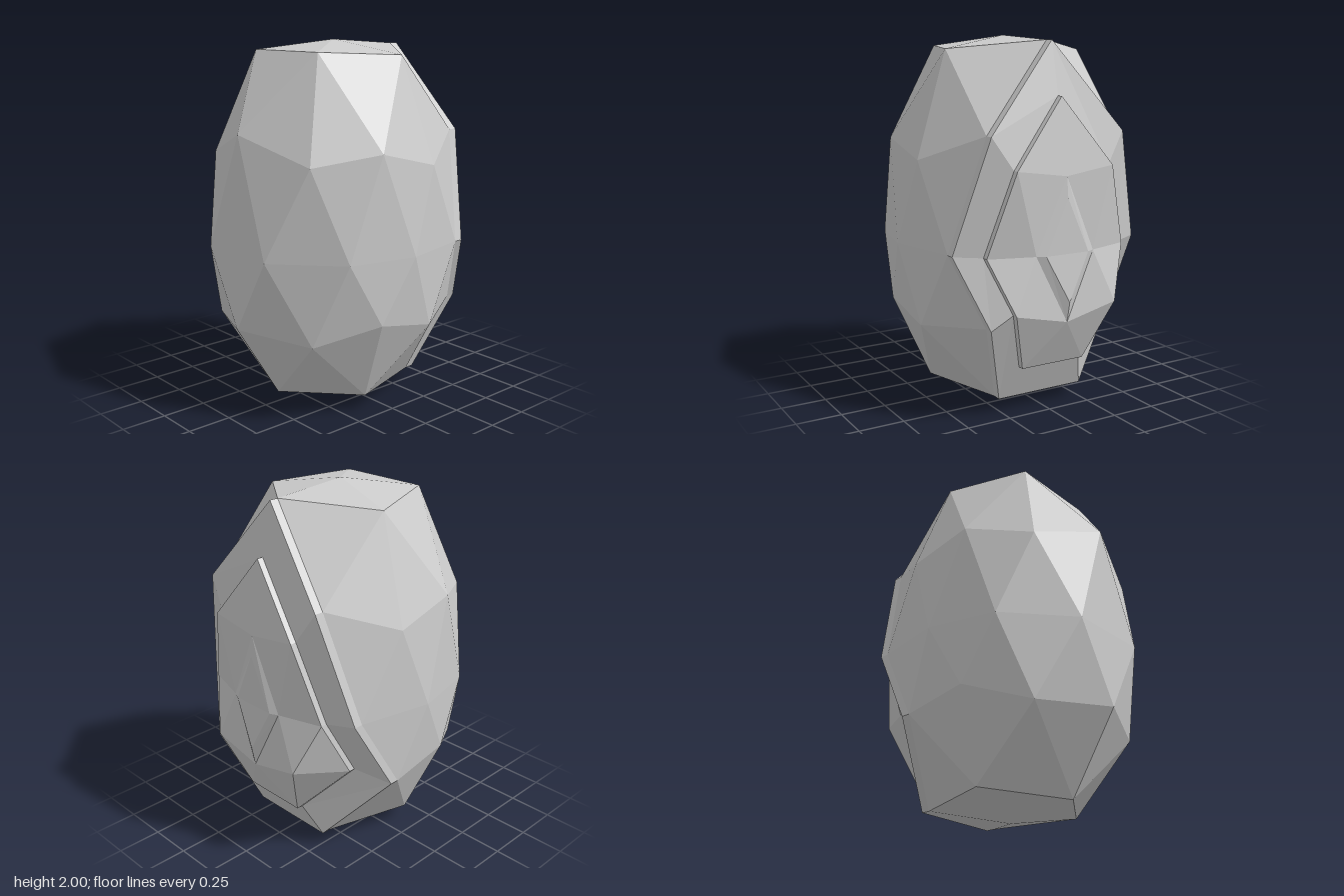
import * as THREE from 'three';

const CENTRE = new THREE.Vector3(0, 0.95, 0);

// Flat shaded mesh from corner triples; each face is turned away from the centre
function facetMesh(name, triangles) {
  const corners = [];
  for (const t of triangles) {
    const [a, b, c] = t.map((p) => new THREE.Vector3(...p));
    const normal = b.clone().sub(a).cross(c.clone().sub(a));
    const middle = a.clone().add(b).add(c).divideScalar(3).sub(CENTRE);
    corners.push(...(normal.dot(middle) < 0 ? [a, c, b] : [a, b, c]));
  }
  const geometry = new THREE.BufferGeometry().setFromPoints(corners);
  geometry.computeVertexNormals();
  const mesh = new THREE.Mesh(geometry, new THREE.MeshStandardMaterial({ color: 0xcccccc, flatShading: true }));
  mesh.name = name;
  return mesh;
}

// Closed strip of faces between two loops of equal length
function strip(outer, inner) {
  return outer.flatMap((p, i) => {
    const j = (i + 1) % outer.length;
    return [[p, outer[j], inner[i]], [outer[j], inner[j], inner[i]]];
  });
}

const shift = (loop, dx) => loop.map(([x, y, z]) => [x + dx, y, z]);

// Points are named by ring letter and azimuth; a trailing * means the mirrored (-z) point
const baseName = (n) => n.replace('*', '');
const flipName = (n) => (n.endsWith('*') ? baseName(n) : n + '*');
const lookup = (points) => (n) => {
  const [x, y, z] = points[baseName(n)];
  return [x, y, n.endsWith('*') ? -z : z];
};

// Expands half-model faces to both sides; faces that span the middle are kept once
function bothSides(faces, points, oneSided = []) {
  const get = lookup(points);
  return faces.flatMap((face) => {
    const names = face.split(' ');
    const spansMiddle = names.every((n) => points[baseName(n)][2] === 0 || names.includes(flipName(n)));
    const triangles = [names.map(get)];
    if (!spansMiddle && !oneSided.includes(face)) triangles.push(names.map((n) => get(flipName(n))));
    return triangles;
  });
}

export function createModel() {
  const model = new THREE.Group();
  model.name = 'facetedEgg';

  // Main body: rings of an elongated icosphere
  const body = {
    N: [0, 2, 0], S: [0, 0, 0],
    A0: [0.44, 1.97, 0], A72: [0.115, 1.925, 0.415], A144: [-0.33, 1.945, 0.26],
    B36: [0.52, 1.5, 0.4], B108: [-0.19, 1.45, 0.6], B180: [-0.65, 1.53, 0],
    C72: [0.17, 1.36, 0.61], C144: [-0.51, 1.39, 0.41],
    D54: [0.41, 0.9, 0.565], D90: [0, 0.9, 0.655], D126: [-0.38, 0.9, 0.565], D162: [-0.675, 0.9, 0.24],
    F36: [0.53, 0.52, 0.41], F108: [-0.19, 0.55, 0.605], F180: [-0.68, 0.485, 0],
    G72: [0.17, 0.48, 0.605], G144: [-0.5, 0.45, 0.41],
    H36: [0.35, 0.075, 0.26], H108: [-0.125, 0.085, 0.41], H180: [-0.41, 0.055, 0],
  };
  const bodyFaces = [
    'N A0 A72', 'N A72 A144', 'N A144 A144*', 'A0 A72 B36', 'A72 A144 B108', 'A144 A144* B180',
    'A72 B36 C72', 'A72 C72 B108', 'A144 B108 C144', 'A144 C144 B180', 'B36 C72 D54', 'C72 B108 D90',
    'B108 D90 D126', 'C144 B108 D126', 'F108 D90 D126', 'C72 D54 D90', 'D54 D90 G72', 'F36 D54 G72',
    'F108 D90 G72', 'C144 D126 D162', 'D126 D162 G144', 'F108 D126 G144', 'F180 D162 G144',
    'C144 B180 D162', 'B180 D162 D162*', 'F180 D162 D162*', 'F36 G72 H36', 'G72 H36 H108',
    'F108 G72 H108', 'F108 G144 H108', 'G144 H108 H180', 'F180 G144 H180',
    'S H36 H108', 'S H108 H180', 'S H36 H36*',
  ];
  model.add(facetMesh('body', bothSides(bodyFaces, body, ['F36 D54 G72', 'F36 G72 H36'])));

  // Lower raised plate on the side: wall and surrounding ledge
  const rim = ['A0', 'B36', 'D54', 'F36', 'H36', 'H36*', 'G72*', 'D54*', 'B36*'].map(lookup(body));
  const ledge = shift(rim, 0.05);
  const plate = {
    T: [0.585, 1.69, 0], M: [0.635, 1.33, 0.29], E: [0.555, 0.89, 0.42], L: [0.655, 0.6, 0.305],
    P: [0.525, 0.27, 0.19], Q: [0.39, 0.57, 0.46],
    U: [0.64, 1.29, 0], V: [0.63, 0.89, 0.175], W: [0.655, 0.53, 0],
  };
  const platePoint = lookup(plate);
  const upperRim = ['T', 'M', 'E', 'L', 'P', 'P*', 'Q*', 'E*', 'M*'].map(platePoint);
  const upperBase = shift(upperRim, -0.035);
  model.add(facetMesh('lowerPlate', [...strip(rim, ledge), ...strip(ledge, upperBase)]));

  // Upper raised plate, with its extra corner on the back side
  const plateFaces = ['T M U', 'M U V', 'M E V', 'E L V', 'L V W', 'L P W', 'P P* W', 'E* Q* L*', 'Q* P* L*'];
  model.add(facetMesh('upperPlate', [
    ...strip(upperBase, upperRim),
    ...bothSides(plateFaces, plate, ['E* Q* L*', 'Q* P* L*']),
  ]));

  // Small raised diamond in the middle
  const diamondBase = ['U', 'V', 'W', 'V*'].map(platePoint);
  const diamond = [[0.652, 1.18, 0], [0.652, 0.89, 0.13], [0.677, 0.64, 0], [0.652, 0.89, -0.13]];
  const [upper, front, lower, back] = diamond;
  model.add(facetMesh('diamond', [
    ...strip(diamondBase, diamond), [upper, front, back], [front, lower, back],
  ]));

  return model;
}
